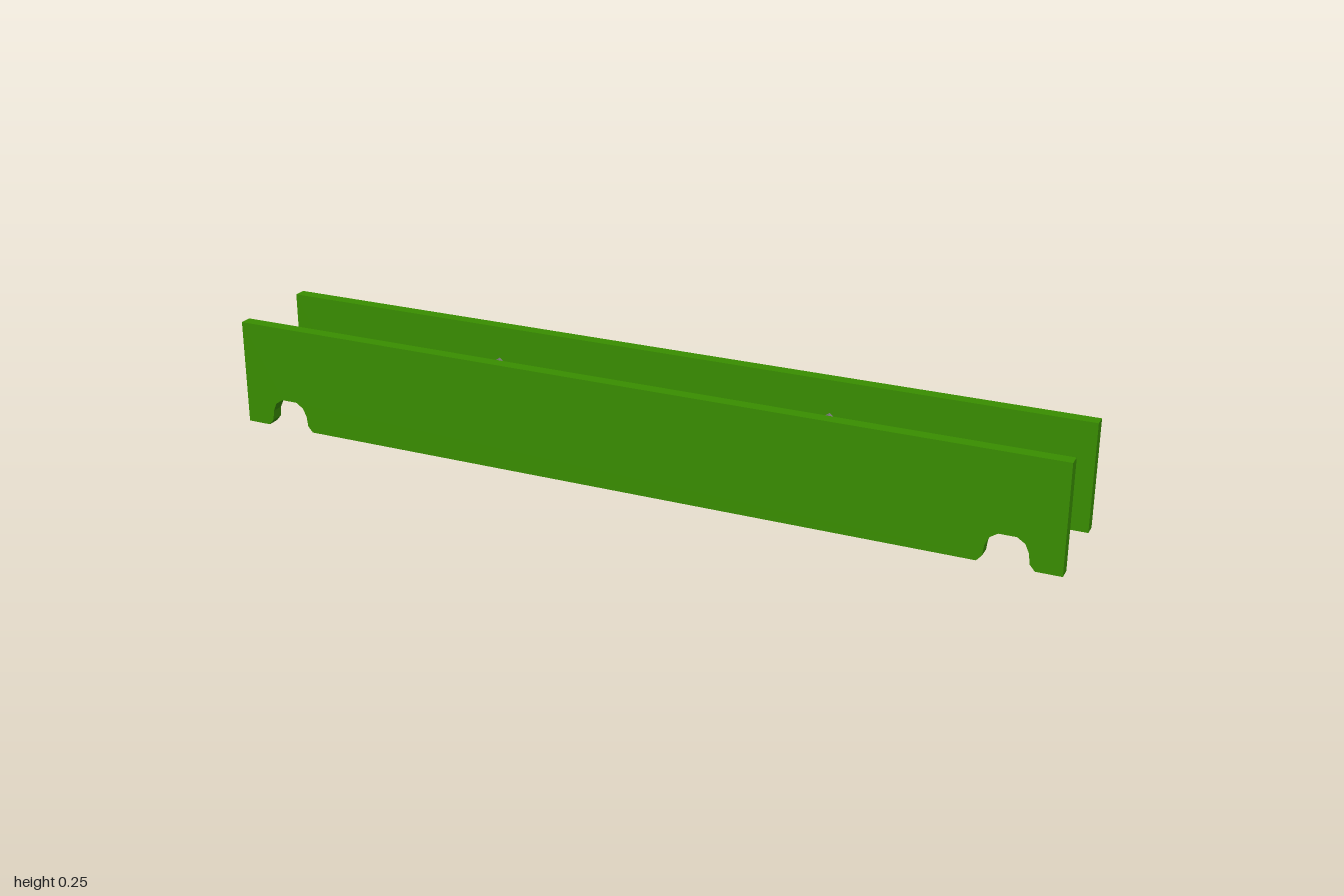
import * as THREE from 'three';

const LENGTH = 2, HEIGHT = 0.254, THICK = 0.03, GAP = 0.099;
const WHEEL_X = 0.88, SPRING_X = 0.415;

// Long side board with an arched, flared notch near each end
function boardGeometry() {
  const notch = [[-0.062, 0], [-0.05, 0.014], [-0.047, 0.038], [-0.038, 0.058], [-0.02, 0.07],
    [0.02, 0.07], [0.038, 0.058], [0.047, 0.038], [0.05, 0.014], [0.062, 0]];
  const s = new THREE.Shape();
  s.moveTo(-LENGTH / 2, 0);
  for (const cx of [-WHEEL_X, WHEEL_X]) for (const [x, y] of notch) s.lineTo(cx + x, y);
  s.lineTo(LENGTH / 2, 0);
  s.lineTo(LENGTH / 2, HEIGHT);
  s.lineTo(-LENGTH / 2, HEIGHT);
  s.closePath();
  return new THREE.ExtrudeGeometry(s, { depth: THICK, bevelEnabled: false });
}

// Open-bottomed ridged sleeve: each corner zigzags along z, shifted by a fifth of the pitch
function springGeometry() {
  const pitch = 0.0442, rows = 14, end = 0.098;
  // x, y, and how far the corner draws in between ridges
  const corners = [[0.035, -0.039, 0.8], [0.046, 0.015, 0.6], [0, 0.048, 0.5],
    [-0.046, 0.015, 0.6], [-0.035, -0.039, 0.8]];
  const point = (i, j) => {
    const [x, y, inner] = corners[i], shift = (i - 2) / 5;
    const z = THREE.MathUtils.clamp(end - ((j - 3) / 2 + shift) * pitch, -end, end);
    const phase = (end - z) / pitch - shift;
    const scale = 1 - (1 - inner) * 2 * Math.abs(phase - Math.round(phase));
    return [x * scale, y * scale, z];
  };
  const g = new THREE.BufferGeometry();
  const positions = [], normals = [];
  for (let i = 0; i < corners.length - 1; i++) {
    const [x0, y0] = corners[i], [x1, y1] = corners[i + 1];
    const normal = new THREE.Vector3(y1 - y0, x0 - x1, 0).normalize().toArray();
    const isRoof = i === 1 || i === 2;
    g.addGroup(i * rows * 6, rows * 6, isRoof ? 0 : 1);
    for (let j = 0; j < rows; j++) {
      const a = point(i, j), b = point(i + 1, j), c = point(i, j + 1), d = point(i + 1, j + 1);
      for (const p of [a, c, b, b, c, d]) {
        positions.push(...p);
        normals.push(...normal);
      }
    }
  }
  g.setAttribute('position', new THREE.Float32BufferAttribute(positions, 3));
  g.setAttribute('normal', new THREE.Float32BufferAttribute(normals, 3));
  return g;
}

export function createModel() {
  const material = (name, color) => {
    const m = new THREE.MeshStandardMaterial({ color });
    m.name = name;
    return m;
  };
  const green = material('board green', 0x398e00);
  const grey = material('spring light grey', 0x7a7a7a);
  const dark = material('dark grey', 0x484648);
  grey.side = dark.side = THREE.DoubleSide;

  const model = new THREE.Group();
  model.name = 'springBoards';
  const add = (name, geometry, mat, x, y, z) => {
    const mesh = new THREE.Mesh(geometry, mat);
    mesh.name = name;
    mesh.position.set(x, y, z);
    model.add(mesh);
  };

  // Front and back boards
  const board = boardGeometry();
  add('frontBoard', board, green, 0, 0, GAP);
  add('backBoard', board, green, 0, 0, -GAP - THICK);

  // Eight-sided wheels sitting in the notches of the back board
  const wheel = new THREE.CylinderGeometry(0.036, 0.036, 0.05, 8);
  wheel.rotateY(Math.PI / 8).rotateX(Math.PI / 2);
  const spring = springGeometry();
  for (const [side, label] of [[1, 'left'], [-1, 'right']]) {
    add(label + 'Wheel', wheel, dark, side * WHEEL_X, 0.0335, -0.1);
    add(label + 'Spring', spring, [grey, dark], side * SPRING_X, 0.137, 0);
  }
  return model;
}
